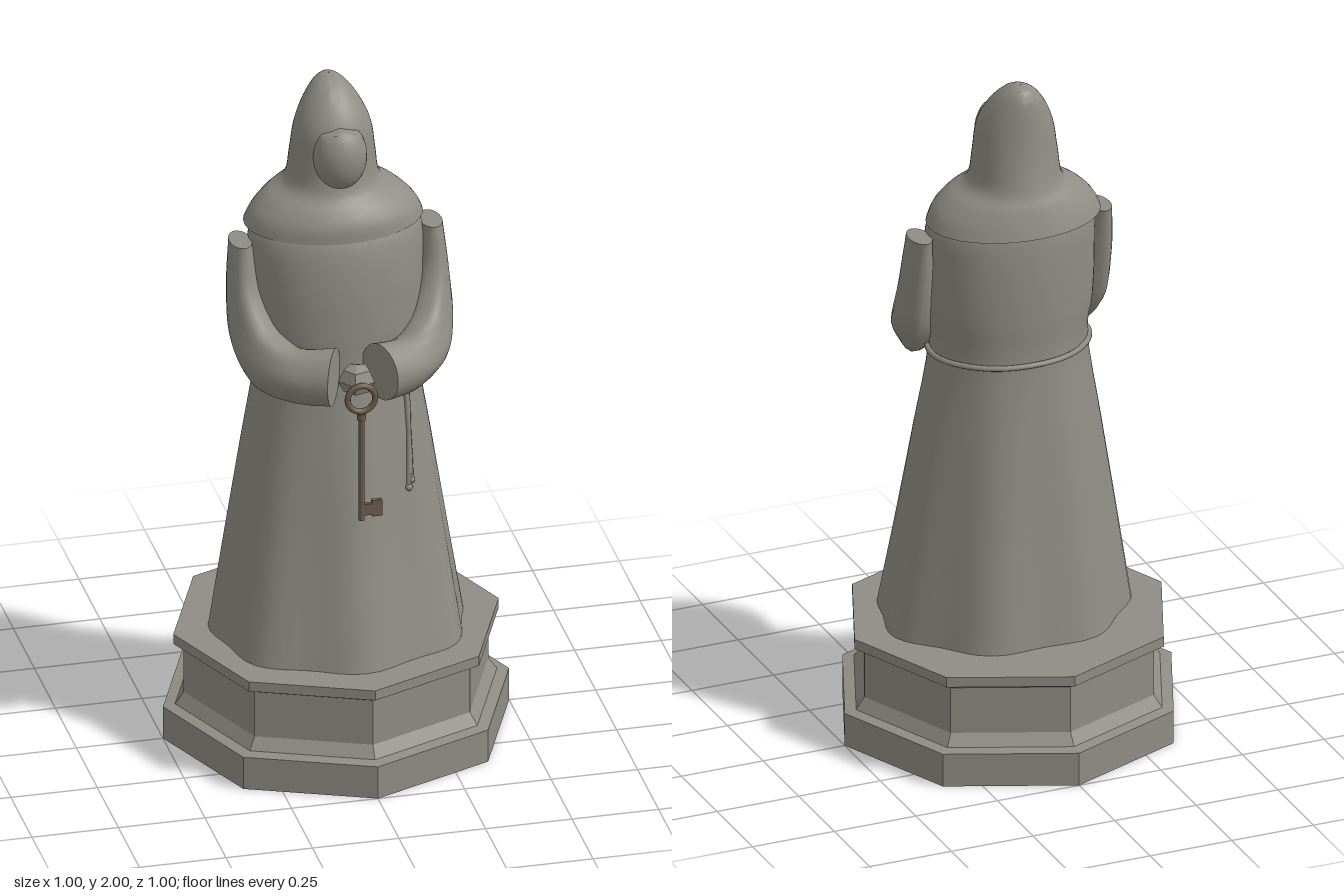
import * as THREE from 'three';
import { toCreasedNormals, mergeVertices } from 'three/addons/utils/BufferGeometryUtils.js';

const stone = new THREE.MeshStandardMaterial({ color: 0x8f8d84, side: THREE.DoubleSide });
stone.name = 'stone';
const bronze = new THREE.MeshStandardMaterial({ color: 0x6e5c4c });
bronze.name = 'bronze';

// Smooth interpolation through rows of numbers, t from 0 to 1
function splineRow(rows, t) {
  const n = rows.length - 1;
  const i = Math.min(Math.floor(t * n), n - 1);
  const f = t * n - i;
  const [p0, p1, p2, p3] = [rows[Math.max(i - 1, 0)], rows[i], rows[i + 1], rows[Math.min(i + 2, n)]];
  return p1.map((b, k) => {
    const m1 = (p2[k] - p0[k]) / 2, m2 = (p3[k] - b) / 2, d = p2[k] - b;
    return b + m1 * f + (3 * d - 2 * m1 - m2) * f * f + (m1 + m2 - 2 * d) * f * f * f;
  });
}

// Skin through rings; ring(t, angle) returns [x, y, z]
function loft(ring, steps, sides, capped = false) {
  const pos = [], index = [];
  for (let i = 0; i <= steps; i++) {
    for (let j = 0; j < sides; j++) pos.push(...ring(i / steps, (j / sides) * Math.PI * 2));
  }
  for (let i = 0; i < steps; i++) {
    for (let j = 0; j < sides; j++) {
      const a = i * sides + j, b = i * sides + (j + 1) % sides;
      index.push(a, b, b + sides, a, b + sides, a + sides);
    }
  }
  if (capped) {
    const top = steps * sides;
    for (let j = 1; j < sides - 1; j++) index.push(0, j + 1, j, top, top + j, top + j + 1);
  }
  const g = new THREE.BufferGeometry();
  g.setAttribute('position', new THREE.Float32BufferAttribute(pos, 3));
  g.setIndex(index);
  return toCreasedNormals(g, 0.8);
}

// Oval cross-section: [y, half width, front z, back z, fold depth]
function oval([y, rx, front, back, fold = 0], a) {
  const k = fold * Math.cos(7 * a);
  const rz = (front - back) / 2;
  return [Math.sin(a) * (rx + k), y, (front + back) / 2 + Math.cos(a) * (rz + k)];
}

const robeRows = [
  [0.325, 0.358, 0.35, -0.274, 0.013],
  [0.62, 0.313, 0.287, -0.241, 0.009],
  [0.9, 0.27, 0.237, -0.213, 0.005],
  [1.17, 0.23, 0.19, -0.187, 0.001],
  [1.3, 0.245, 0.185, -0.19, 0],
  [1.45, 0.25, 0.175, -0.19, 0],
  [1.58, 0.24, 0.146, -0.178, 0],
  [1.66, 0.15, 0.08, -0.13, 0],
];

// Point on the robe at height y, pushed outwards a little
function onRobe(y, a, out) {
  const i = Math.max(0, robeRows.findIndex((r) => r[0] >= y) - 1);
  const p = robeRows[i], q = robeRows[i + 1];
  const f = (y - p[0]) / (q[0] - p[0]);
  const v = new THREE.Vector3(...oval(p.map((n, k) => n + (q[k] - n) * f), a));
  return v.add(new THREE.Vector3(Math.sin(a) * out, 0, Math.cos(a) * out));
}

const hoodRows = [
  [1.578, 0.256, 0.151, -0.224],
  [1.62, 0.235, 0.146, -0.212],
  [1.66, 0.194, 0.124, -0.199],
  [1.70, 0.136, 0.089, -0.183],
  [1.78, 0.122, 0.07, -0.164],
  [1.86, 0.111, 0.062, -0.153],
  [1.92, 0.088, 0.034, -0.147],
  [1.97, 0.054, -0.012, -0.138],
  [1.994, 0.024, -0.055, -0.118],
  [2.0, 0.001, -0.088, -0.09],
];

// Sleeve sections: centre, outward half axis, upper half axis
const sleeveRows = [
  [0.275, 1.545, -0.008, 0.032, 0, 0, 0, 0, 0.057],
  [0.274, 1.41, 0.015, 0.045, 0, 0, 0, 0.015, 0.06],
  [0.258, 1.288, 0.06, 0.06, 0, 0.01, -0.012, 0.05, 0.062],
  [0.226, 1.222, 0.125, 0.06, -0.01, 0.03, -0.01, 0.082, 0.037],
  [0.16, 1.205, 0.195, 0.045, 0, 0.06, 0, 0.08, 0.005],
  [0.067, 1.215, 0.25, 0.035, 0, 0.07, 0, 0.085, 0],
];

export function createModel() {
  const model = new THREE.Group();
  const add = (name, geometry, material = stone, parent = model) => {
    const mesh = new THREE.Mesh(geometry, material);
    mesh.name = name;
    parent.add(mesh);
    return mesh;
  };

  // Eight-sided plinth, a thin shell open underneath
  const profile = [
    [0, 0.31], [0.455, 0.31], [0.455, 0.3], [0.425, 0.285], [0.425, 0.135], [0.45, 0.095], [0.475, 0.09],
    [0.475, 0], [0.5, 0], [0.5, 0.1], [0.465, 0.105], [0.44, 0.14], [0.44, 0.28], [0.46, 0.292],
    [0.47, 0.295], [0.47, 0.325], [0, 0.325],
  ].map((p) => new THREE.Vector2(...p));
  add('plinth', toCreasedNormals(new THREE.LatheGeometry(profile, 8), 0.2));

  // Robe, hood with shoulder cape
  add('robe', loft((t, a) => oval(splineRow(robeRows, t), a), 28, 56));
  add('hood', loft((t, a) => oval(splineRow(hoodRows, t), a), 36, 40));

  // Face with a flattened brow
  const face = mergeVertices(new THREE.SphereGeometry(1, 28, 20));
  const fp = face.attributes.position;
  for (let i = 0; i < fp.count; i++) {
    const x = fp.getX(i) * 0.077, z = fp.getZ(i) * 0.07;
    const y = Math.min(fp.getY(i) * 0.1, 0.088 - Math.abs(x) * 0.3);
    fp.setXYZ(i, x, y, z);
  }
  add('face', toCreasedNormals(face, 0.6)).position.set(0, 1.805, 0.047);

  // Sleeves, mirrored
  for (const s of [1, -1]) {
    const ring = (t, angle) => {
      const a = angle * s;
      const r = splineRow(sleeveRows, t);
      const fold = 1 + 0.05 * Math.sin(t * Math.PI) * Math.cos(5 * a);
      const c = Math.cos(a) * fold, d = Math.sin(a) * fold;
      return [0, 1, 2].map((k) => (r[k] + r[k + 3] * c + r[k + 6] * d) * (k === 0 ? s : 1));
    };
    add(s > 0 ? 'leftSleeve' : 'rightSleeve', loft(ring, 24, 24, true));
  }

  // Clasped hands between the cuffs
  const hands = add('hands', toCreasedNormals(new THREE.SphereGeometry(0.055, 5, 4), 0.2));
  hands.position.set(0, 1.2, 0.25);
  hands.scale.set(1, 0.85, 0.95);

  // Rope belt and its two hanging ends
  const beltPoints = Array.from({ length: 32 }, (_, i) => onRobe(1.172, (i / 32) * Math.PI * 2, 0.004));
  add('belt', new THREE.TubeGeometry(new THREE.CatmullRomCurve3(beltPoints, true), 64, 0.009, 6, true));
  [[0.8, 0.6, 0.82], [0.76, 0.64, 0.84]].forEach(([a0, a1, end]) => {
    const pts = [0, 0.33, 0.66, 1].map((t) => onRobe(1.17 + (end - 1.17) * t, a0 + (a1 - a0) * t, 0.004));
    add('beltCord', new THREE.TubeGeometry(new THREE.CatmullRomCurve3(pts), 16, 0.007, 6));
    add('cordKnot', new THREE.SphereGeometry(0.011, 8, 6)).position.copy(pts[3]);
  });

  // Hanging key
  const key = new THREE.Group();
  key.name = 'key';
  key.position.z = 0.303;
  model.add(key);
  add('keyRing', new THREE.TorusGeometry(0.04, 0.009, 8, 24), bronze, key).position.y = 1.165;
  add('keyShaft', new THREE.CylinderGeometry(0.009, 0.009, 0.345, 10), bronze, key).position.y = 0.955;
  add('keyCollar', new THREE.CylinderGeometry(0.013, 0.013, 0.02, 10), bronze, key).position.y = 1.11;
  add('keyBit', new THREE.BoxGeometry(0.055, 0.035, 0.012), bronze, key).position.set(0.031, 0.815, 0);
  add('keyTooth', new THREE.BoxGeometry(0.03, 0.05, 0.012), bronze, key).position.set(0.044, 0.817, 0);

  return model;
}
